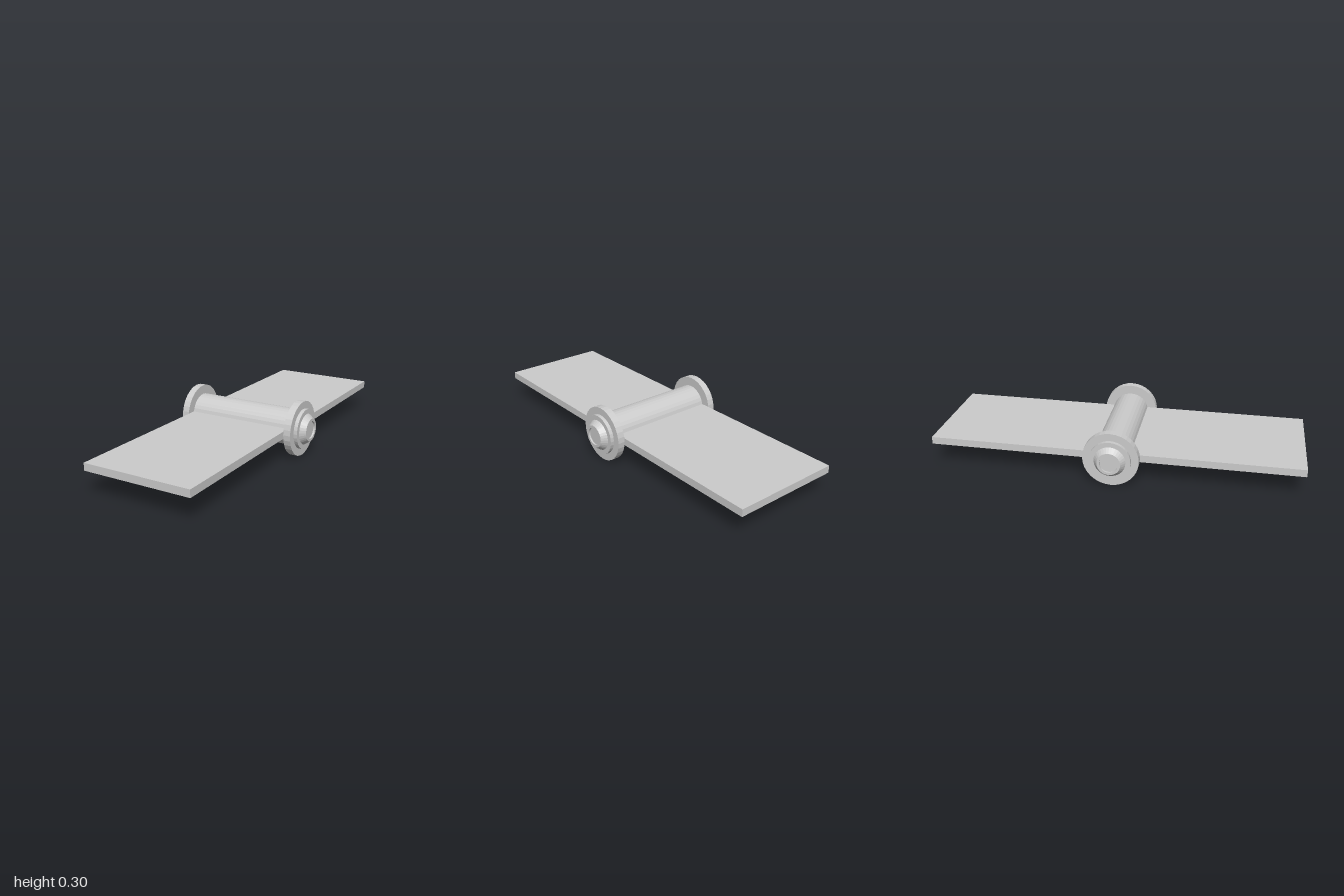
import * as THREE from 'three';

const AXIS_Y = 0.15;
const SIDES = 32;

export function createModel() {
  const model = new THREE.Group();
  const material = new THREE.MeshStandardMaterial({ color: 0xcccccc, flatShading: true });

  function add(parent, name, geometry) {
    const mesh = new THREE.Mesh(geometry, material);
    mesh.name = name;
    parent.add(mesh);
    return mesh;
  }

  // Solid of revolution about the x axis; points are [radius, x], with x ascending
  function turned(points) {
    const profile = points.map(([r, x]) => new THREE.Vector2(r, x));
    return new THREE.LatheGeometry(profile, SIDES).rotateZ(-Math.PI / 2);
  }

  // Long flat plate running through the barrel
  add(model, 'plate', new THREE.BoxGeometry(0.6, 0.04, 2)).position.y = AXIS_Y;

  // Barrel across the plate
  add(model, 'barrel', turned([[0, -0.3], [0.1, -0.3], [0.1, 0.3], [0, 0.3]])).position.y = AXIS_Y;

  // Matching stepped ends: flange, collar and bevelled cap with a shallow recess
  for (const side of [1, -1]) {
    const end = new THREE.Group();
    end.name = side > 0 ? 'leftEnd' : 'rightEnd';
    end.position.y = AXIS_Y;
    if (side < 0) end.rotation.y = Math.PI;
    add(end, 'flange', turned([[0, 0.3], [0.15, 0.3], [0.15, 0.34], [0, 0.34]]));
    add(end, 'collar', turned([[0, 0.34], [0.11, 0.34], [0.11, 0.36], [0, 0.36]]));
    add(end, 'cap', turned([[0, 0.36], [0.084, 0.36], [0.062, 0.39], [0.048, 0.39], [0.048, 0.38], [0, 0.38]]));
    model.add(end);
  }

  return model;
}
